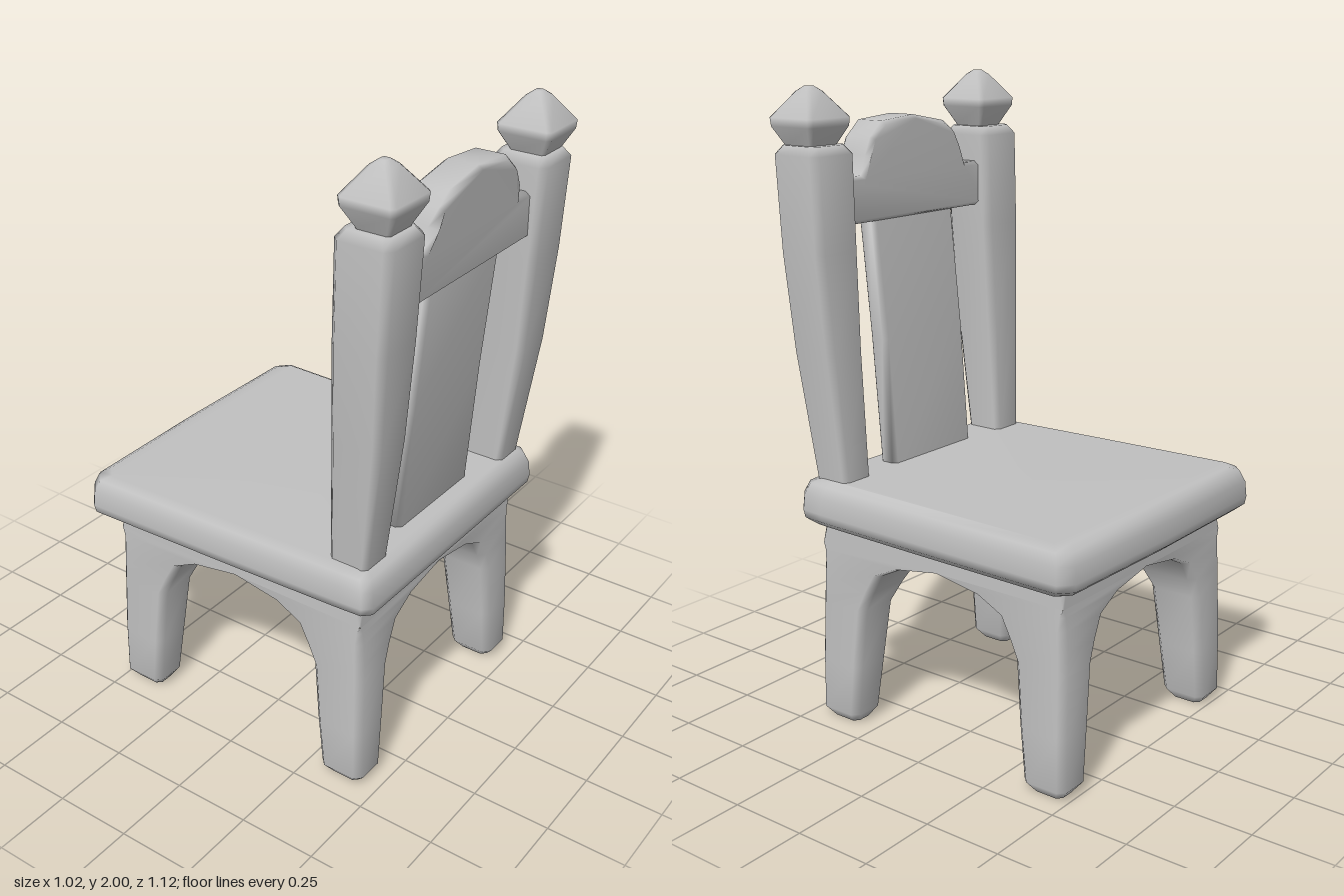
import * as THREE from 'three';
import { mergeVertices } from 'three/addons/utils/BufferGeometryUtils.js';

// Joins rings of points (listed bottom to top, each running from +x towards +z) into a smooth skin.
function loft(rings, capped = true) {
  const n = rings[0].length, index = [], last = (rings.length - 1) * n;
  for (let r = 0; r < rings.length - 1; r++) {
    for (let i = 0; i < n; i++) {
      const a = r * n + i, b = r * n + (i + 1) % n;
      index.push(a, a + n, b, b, a + n, b + n);
    }
  }
  if (capped) {
    for (let i = 1; i < n - 1; i++) {
      index.push(0, i, i + 1, last, last + i + 1, last + i);
    }
  }
  const geometry = new THREE.BufferGeometry();
  geometry.setAttribute('position', new THREE.Float32BufferAttribute(rings.flat(2), 3));
  geometry.setIndex(index);
  geometry.computeVertexNormals();
  return geometry;
}

// Rectangle with cut corners at height y.
function boxRing(y, xa, xb, za, zb, b) {
  const x0 = Math.min(xa, xb), x1 = Math.max(xa, xb);
  const z0 = Math.min(za, zb), z1 = Math.max(za, zb);
  return [
    [x1, y, z0 + b], [x1, y, z1 - b], [x1 - b, y, z1], [x0 + b, y, z1],
    [x0, y, z1 - b], [x0, y, z0 + b], [x0 + b, y, z0], [x1 - b, y, z0],
  ];
}

// Seat outline, wider at the open end, shrunk by an inset.
function seatRing(y, inset) {
  const outline = [
    [0.51, -0.515], [0.495, 0], [0.48, 0.4], [0.475, 0.475], [0.45, 0.5],
    [-0.45, 0.5], [-0.475, 0.475], [-0.48, 0.4], [-0.495, 0], [-0.51, -0.515],
    [-0.47, -0.553], [0, -0.56], [0.47, -0.553],
  ];
  const kx = 1 - inset / 0.5, kz = 1 - inset / 0.53;
  return outline.map(([x, z]) => [x * kx, y, (z + 0.03) * kz - 0.03]);
}

export function createModel() {
  const group = new THREE.Group();
  const wood = new THREE.MeshStandardMaterial({ color: 0xc0c0c0 });
  wood.name = 'plain grey';
  const add = (name, geometry) => {
    const mesh = new THREE.Mesh(geometry, wood);
    mesh.name = name;
    group.add(mesh);
    return mesh;
  };

  // Seat slab with softened edges
  add('seat', loft([
    seatRing(0.65, 0.035), seatRing(0.675, 0.004), seatRing(0.7, 0),
    seatRing(0.75, 0.004), seatRing(0.785, 0.018), seatRing(0.8, 0.045),
  ]));

  // Legs spread inwards as they rise until they meet as a vault: y, outer x, inner x, outer z, inner z, bevel
  const legProfile = [
    [0, 0.42, 0.35, 0.45, 0.35, 0.015],
    [0.035, 0.447, 0.322, 0.478, 0.326, 0.022],
    [0.2, 0.446, 0.306, 0.476, 0.31, 0.022],
    [0.395, 0.438, 0.286, 0.472, 0.292, 0.022],
    [0.46, 0.436, 0.262, 0.47, 0.262, 0.022],
    [0.525, 0.433, 0.228, 0.466, 0.228, 0.02],
    [0.567, 0.43, 0.145, 0.463, 0.145, 0.014],
    [0.592, 0.428, 0, 0.461, 0, 0.002],
  ];
  const zMid = -0.02;
  for (const sx of [-1, 1]) {
    for (const sz of [-1, 1]) {
      const rings = legProfile.map(([y, xo, xi, zo, zi, b]) =>
        boxRing(y, sx * xo, sx * xi, zMid + sz * zo, zMid + sz * zi, b));
      const leg = loft(rings, false);
      // Foot cap
      const cap = [];
      for (let i = 1; i < 7; i++) cap.push(0, i, i + 1);
      leg.setIndex([...leg.index.array, ...cap]);
      leg.computeVertexNormals();
      add((sx > 0 ? 'left' : 'right') + (sz > 0 ? 'PostSideLeg' : 'OpenSideLeg'), leg);
    }
  }

  // Apron between vault and seat
  add('apron', loft([
    boxRing(0.592, -0.428, 0.428, zMid - 0.461, zMid + 0.461, 0.004),
    boxRing(0.67, -0.424, 0.424, zMid - 0.458, zMid + 0.458, 0.02),
  ], false));

  // Leaning posts that widen upwards, with faceted finials
  for (const s of [-1, 1]) {
    const side = s > 0 ? 'left' : 'right';
    const drop = s > 0 ? 0.018 : 0;
    add(side + 'Post', loft([
      boxRing(0.76, s * 0.43, s * 0.316, 0.328, 0.455, 0.015),
      boxRing(0.8, s * 0.433, s * 0.316, 0.33, 0.46, 0.015),
      boxRing(1.2, s * 0.462, s * 0.312, 0.348, 0.513, 0.02),
      boxRing(1.5, s * 0.48, s * 0.305, 0.359, 0.535, 0.022),
      boxRing(1.795 - drop / 2, s * 0.482, s * 0.302, 0.367, 0.55, 0.022),
      boxRing(1.822 - drop / 2, s * 0.462, s * 0.322, 0.387, 0.53, 0.018),
    ]));

    const finialRing = (y, r, b) =>
      boxRing(y - drop, s * 0.392 - r, s * 0.392 + r, 0.469 - r, 0.469 + r, b);
    add(side + 'Finial', loft([
      finialRing(1.81, 0.052, 0.008), finialRing(1.825, 0.054, 0.008),
      finialRing(1.885, 0.086, 0.012), finialRing(1.91, 0.088, 0.012),
      finialRing(1.985, 0.032, 0.01), finialRing(2, 0.012, 0.005),
    ]));
  }

  // Leaning back slat
  add('backSlat', loft([
    boxRing(0.78, -0.193, 0.187, 0.348, 0.415, 0.014),
    boxRing(1.2, -0.193, 0.187, 0.378, 0.448, 0.014),
    boxRing(1.62, -0.193, 0.187, 0.42, 0.49, 0.014),
  ]));

  // Crest rail with an arched middle, thinner at the ends
  const crest = new THREE.Shape([
    [-0.33, 1.58], [0.33, 1.58], [0.33, 1.7], [0.235, 1.7], [0.21, 1.765], [0.188, 1.815],
    [0.14, 1.857], [0, 1.868], [-0.14, 1.842], [-0.185, 1.81], [-0.21, 1.765], [-0.235, 1.7],
    [-0.33, 1.7],
  ].map(([x, y]) => new THREE.Vector2(x, y)));
  let rail = new THREE.ExtrudeGeometry(crest, {
    depth: 0.094, bevelEnabled: true, bevelThickness: 0.015, bevelSize: 0.012, bevelSegments: 1,
  });
  rail.translate(0, 0, 0.414);
  const p = rail.attributes.position;
  for (let i = 0; i < p.count; i++) {
    if (Math.abs(p.getX(i)) > 0.22 && p.getZ(i) > 0.46) p.setZ(i, p.getZ(i) - 0.015);
  }
  rail.deleteAttribute('uv');
  rail.deleteAttribute('normal');
  rail = mergeVertices(rail, 1e-4);
  rail.computeVertexNormals();
  add('crestRail', rail);

  return group;
}
